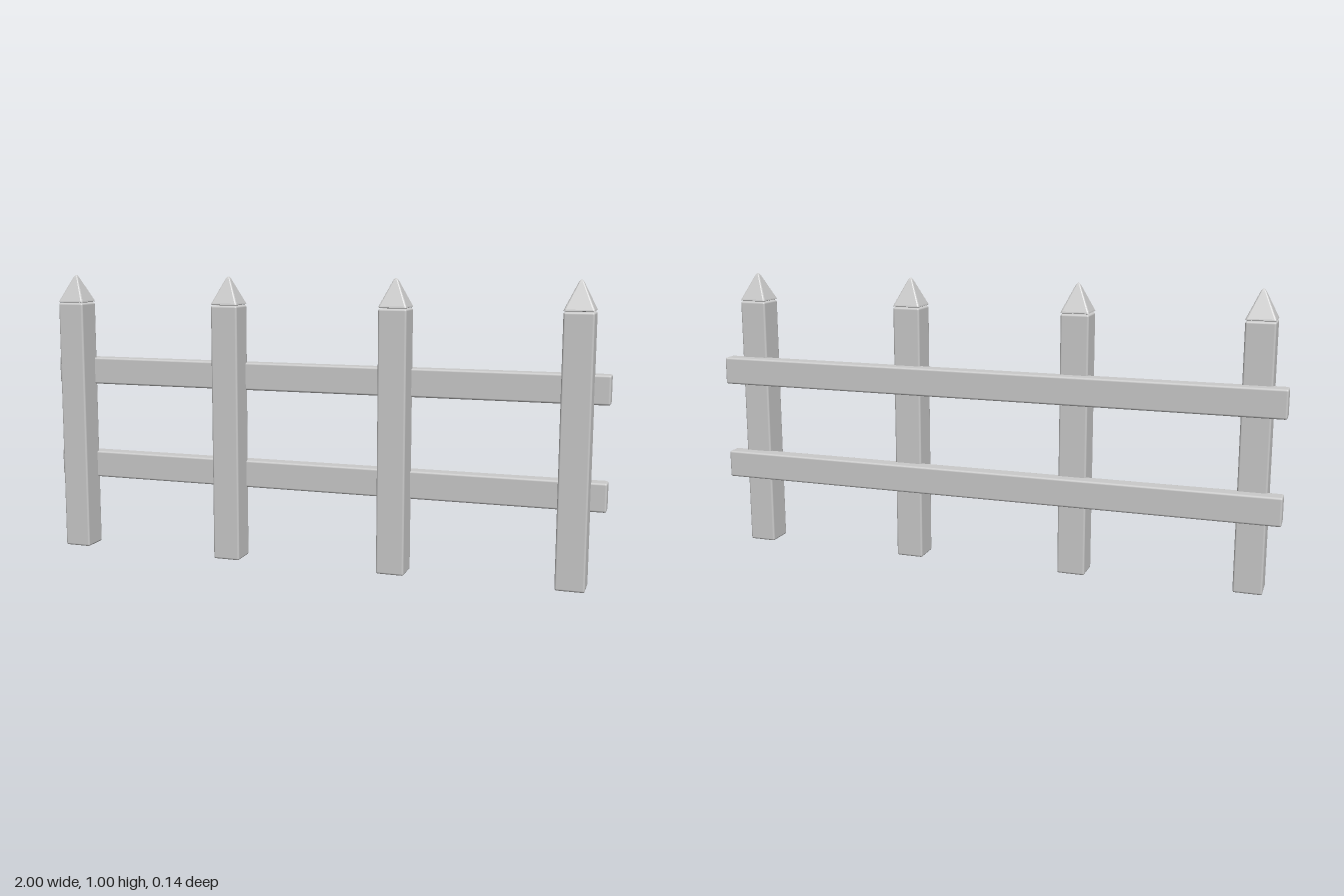
import * as THREE from 'three';
import { RoundedBoxGeometry } from 'three/addons/geometries/RoundedBoxGeometry.js';
import { ConvexGeometry } from 'three/addons/geometries/ConvexGeometry.js';

const POST = 0.097, POST_TOP = 0.9, POST_Z = 0.02;

// Four-sided point with softened ridges: rows of [y, half width, corner cut]
function capGeometry() {
  const rows = [
    [0.902, 0.044, 0.004],
    [0.904, 0.0485, 0.006],
    [0.908, 0.0475, 0.006],
    [0.991, 0.009, 0.004],
    [0.997, 0.005, 0.003],
    [1.0, 0.002, 0.001],
  ];
  const points = [];
  for (const [y, h, cut] of rows)
    for (const sx of [-1, 1])
      for (const sz of [-1, 1]) {
        points.push(new THREE.Vector3(sx * h, y, sz * (h - cut)));
        points.push(new THREE.Vector3(sx * (h - cut), y, sz * h));
        points.push(new THREE.Vector3(sx * (h - cut * 0.3), y, sz * (h - cut * 0.3)));
      }
  return new ConvexGeometry(points);
}

export function createModel() {
  const fence = new THREE.Group();
  fence.name = 'fence';
  const material = new THREE.MeshStandardMaterial({ color: 0xcccccc });

  const add = (parent, name, geometry, x, y, z) => {
    const mesh = new THREE.Mesh(geometry, material);
    mesh.name = name;
    mesh.position.set(x, y, z);
    parent.add(mesh);
  };

  // Pickets: square post with a separate pointed cap
  const postGeo = new RoundedBoxGeometry(POST, POST_TOP, POST, 2, 0.007);
  const capGeo = capGeometry();
  [-0.9, -0.3, 0.3, 0.9].forEach((x, i) => {
    const picket = new THREE.Group();
    picket.name = `picket${i + 1}`;
    picket.position.set(x, 0, POST_Z);
    add(picket, 'post', postGeo, 0, POST_TOP / 2, 0);
    add(picket, 'pointedCap', capGeo, 0, 0, 0);
    fence.add(picket);
  });

  // Horizontal rails let into the back of the pickets
  const railGeo = new RoundedBoxGeometry(2, 0.097, 0.058, 2, 0.007);
  add(fence, 'lowerRail', railGeo, 0, 0.299, -0.04);
  add(fence, 'upperRail', railGeo, 0, 0.649, -0.04);

  return fence;
}
